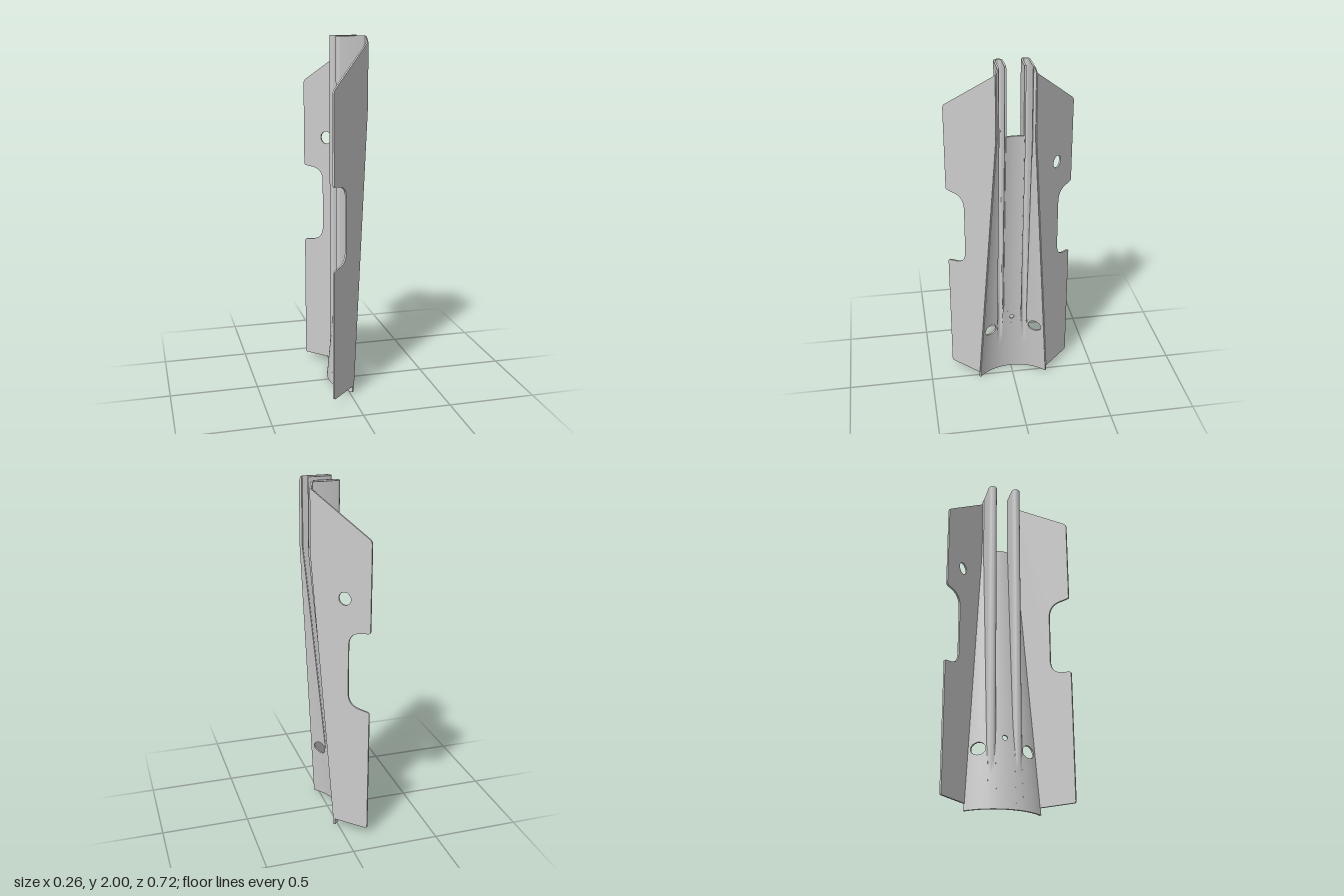
import * as THREE from 'three';
import { toCreasedNormals } from 'three/addons/utils/BufferGeometryUtils.js';

const T = 0.01;            // sheet thickness
const WING = 0.227;        // wing planes: x + |z| = WING
const Z_IN = 0.0515, Z_OUT = 0.0925; // pleat mouth
const TAPER_TOP = 1.62;    // the shell tapers up to here, then runs straight

const lerp = THREE.MathUtils.lerp;
const steps = (a, b, n) => Array.from({ length: n + 1 }, (_, i) => lerp(a, b, i / n));
const taper = (y) => Math.min(y / TAPER_TOP, 1);
const foldZ = (y) => lerp(0.207, 0.105, taper(y));

// Depth of the tapering curved shell: a circular arc between the two folds
function shellX(z, y) {
  const mid = lerp(-0.07, 0.083, taper(y)), zf = foldZ(y);
  const sag = WING - zf - mid, r = (zf * zf + sag * sag) / (2 * sag);
  return mid + r - Math.sqrt(Math.max(r * r - z * z, 0));
}

// Solid sheet of thickness T around the surface point(u, v)
function sheet(point, us, vs) {
  const nu = us.length, nv = vs.length;
  const grid = us.map((u) => vs.map((v) => point(u, v)));
  const sides = [[], []];
  for (let i = 0; i < nu; i++) for (let j = 0; j < nv; j++) {
    const du = grid[Math.min(i + 1, nu - 1)][j].clone().sub(grid[Math.max(i - 1, 0)][j]);
    const dv = grid[i][Math.min(j + 1, nv - 1)].clone().sub(grid[i][Math.max(j - 1, 0)]);
    const n = du.cross(dv).normalize().multiplyScalar(T / 2);
    sides[0].push(grid[i][j].clone().add(n));
    sides[1].push(grid[i][j].clone().sub(n));
  }
  const pos = [];
  const quad = (a, b, c, d) => [a, b, c, a, c, d].forEach((p) => pos.push(p.x, p.y, p.z));
  const F = (i, j) => sides[0][i * nv + j], B = (i, j) => sides[1][i * nv + j];
  for (let i = 0; i < nu - 1; i++) {
    for (let j = 0; j < nv - 1; j++) {
      quad(F(i, j), F(i + 1, j), F(i + 1, j + 1), F(i, j + 1));
      quad(B(i, j), B(i, j + 1), B(i + 1, j + 1), B(i + 1, j));
    }
    const e = nv - 1;
    quad(B(i, 0), B(i + 1, 0), F(i + 1, 0), F(i, 0));
    quad(F(i, e), F(i + 1, e), B(i + 1, e), B(i, e));
  }
  for (let j = 0; j < nv - 1; j++) {
    const e = nu - 1;
    quad(F(0, j), F(0, j + 1), B(0, j + 1), B(0, j));
    quad(B(e, j), B(e, j + 1), F(e, j + 1), F(e, j));
  }
  const g = new THREE.BufferGeometry();
  g.setAttribute('position', new THREE.Float32BufferAttribute(pos, 3));
  return toCreasedNormals(g, 0.6);
}

// Surface rule for the square y0..y1, t 0..1 around a round hole
function aroundHole(point, width, tc, yc, r, y0, y1) {
  return (a, k) => {
    const c = Math.cos(a), s = Math.sin(a), m = Math.max(Math.abs(c), Math.abs(s));
    const t = lerp(tc + (r * c) / width, tc + (c / m) * (c > 0 ? 1 - tc : tc), k);
    const y = lerp(yc + r * s, yc + (s / m) * (s > 0 ? y1 - yc : yc - y0), k);
    return point(t, y);
  };
}

// Wing outline, drawn with z stretched onto its 45 degree plane
function wingGeometry(withHole) {
  const q = Math.SQRT2, end = 0.357, notch = 0.266;
  const s = new THREE.Shape();
  const line = (z, y) => s.lineTo(z * q, y);
  const curve = (cz, cy, z, y) => s.quadraticCurveTo(cz * q, cy, z * q, y);
  s.moveTo(foldZ(0.04) * q, 0.04);
  line(end - 0.008, 0.04);
  curve(end, 0.04, end, 0.052);
  line(end, 0.765);
  curve(end, 0.777, end - 0.01, 0.778);
  line(0.318, 0.785);
  curve(notch, 0.795, notch, 0.87);
  line(notch, 1.145);
  curve(notch, 1.22, 0.318, 1.228);
  line(end - 0.01, 1.233);
  curve(end, 1.235, end, 1.247);
  line(end, 1.715);
  curve(end, 1.733, end - 0.01, 1.743);
  line(0.115, 1.96);
  line(0.105, 1.97);
  line(0.105, TAPER_TOP);
  s.closePath();
  if (withHole) {
    const h = new THREE.Path();
    h.absarc(0.249 * q, 1.408, 0.036, 0, Math.PI * 2, true);
    s.holes.push(h);
  }
  return new THREE.ExtrudeGeometry(s, { depth: T, bevelEnabled: false, curveSegments: 12 })
    .translate(0, 0, -T / 2);
}

export function createModel() {
  const model = new THREE.Group();
  const mat = new THREE.MeshStandardMaterial({ color: 0xcccccc, side: THREE.DoubleSide });
  const add = (name, geometry, parent = model) => {
    const mesh = new THREE.Mesh(geometry, mat);
    mesh.name = name;
    parent.add(mesh);
    return mesh;
  };
  const ring = steps(0, Math.PI * 2, 40), radial = steps(0, 1, 4);

  // Centre strip with a small pilot hole
  const strip = (t, y) => {
    const z = lerp(-Z_IN, Z_IN, t);
    return new THREE.Vector3(shellX(z, y), y, z);
  };
  const centre = new THREE.Group();
  centre.name = 'centreStrip';
  model.add(centre);
  add('stripLower', sheet(strip, steps(0, 1, 8), steps(0, 0.35, 4)), centre);
  add('stripHole', sheet(aroundHole(strip, 2 * Z_IN, 0.5, 0.395, 0.014, 0.35, 0.44), ring, radial), centre);
  add('stripUpper', sheet(strip, steps(0, 1, 8), steps(0.44, TAPER_TOP, 8)), centre);

  for (const side of [1, -1]) {
    const half = new THREE.Group();
    half.name = side > 0 ? 'leftHalf' : 'rightHalf';
    model.add(half);

    // Flat wing, set at 45 degrees
    const wing = add('wing', wingGeometry(side < 0), half);
    const along = new THREE.Vector3(-1, 0, side).normalize(), up = new THREE.Vector3(0, 1, 0);
    wing.applyMatrix4(new THREE.Matrix4().makeBasis(along, up, along.clone().cross(up))
      .setPosition(WING, 0, 0));

    // Curved side panel between pleat and fold, with a round hole
    const panel = (t, y) => {
      const z = lerp(Z_OUT, foldZ(y), t);
      const drop = y > 1.9 ? 0.03 * t * t * (y - 1.9) / 0.1 : 0;
      return new THREE.Vector3(shellX(z, y), y - drop, side * z);
    };
    const width = foldZ(0.335) - Z_OUT;
    add('panelLower', sheet(panel, steps(0, 1, 8), steps(0, 0.25, 3)), half);
    add('panelHole', sheet(aroundHole(panel, width, 0.47, 0.335, 0.036, 0.25, 0.42), ring, radial), half);
    add('panelUpper', sheet(panel, steps(0, 1, 8),
      [...steps(0.42, TAPER_TOP, 8), 1.9, 1.95, 2]), half);

    // U-shaped pleat that sinks into the shell near the bottom
    const profile = [[1, Z_OUT]];
    for (const a of steps(0, Math.PI, 12))
      profile.push([-0.02 - 0.02 * Math.sin(a), 0.072 + 0.02 * Math.cos(a)]);
    profile.push([1, Z_IN]);
    const pleat = (i, y) => {
      const [x, z] = profile[i];
      return new THREE.Vector3(Math.min(x, shellX(z, y)), y, side * z);
    };
    add('pleat', sheet(pleat, [...profile.keys()],
      [0, 0.1, ...steps(0.15, 0.5, 20), ...steps(0.55, TAPER_TOP, 8), 2]), half);
  }
  return model;
}
